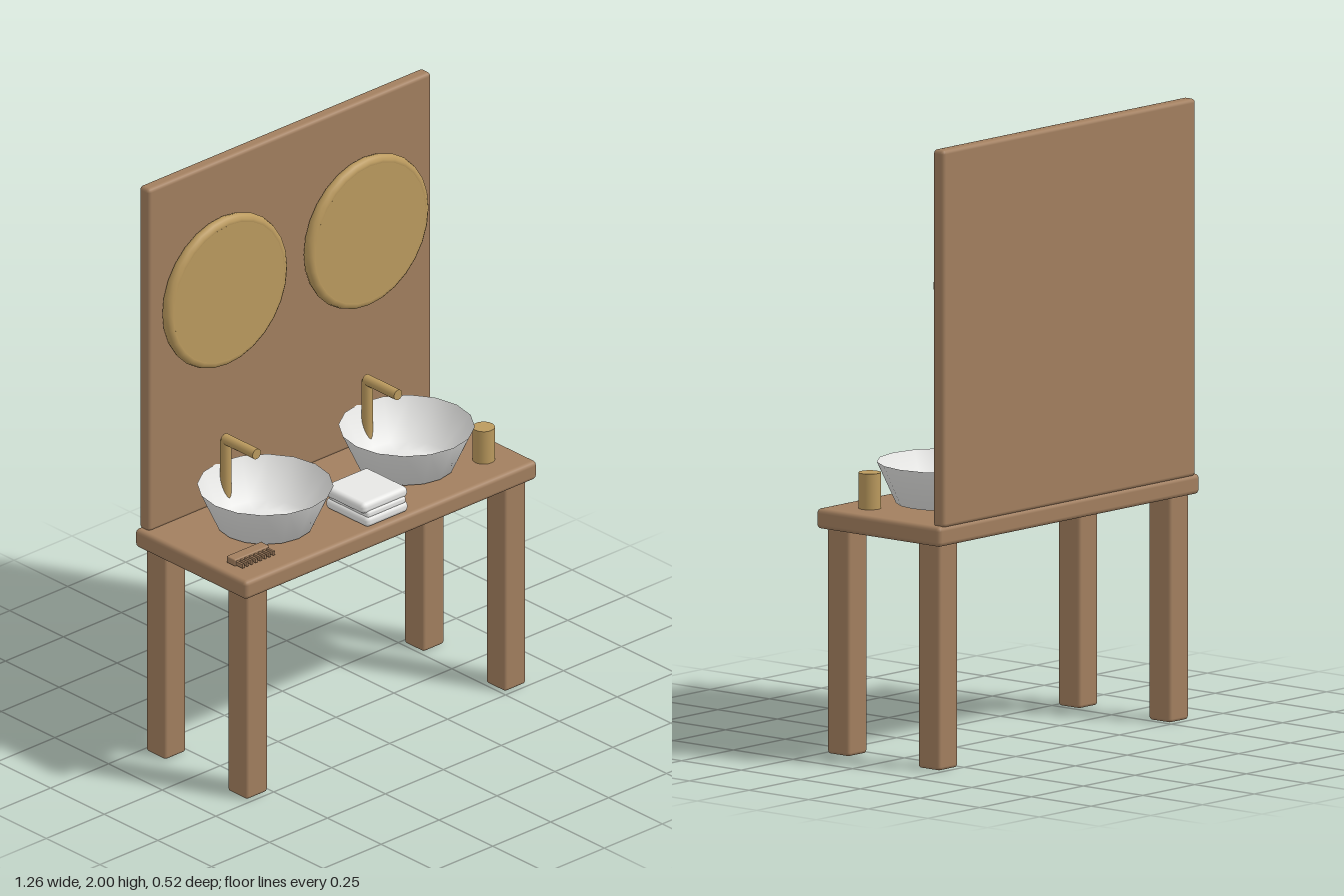
import * as THREE from 'three';
import { RoundedBoxGeometry } from 'three/addons/geometries/RoundedBoxGeometry.js';

const wood = new THREE.MeshStandardMaterial({ color: 0xa27f5f });
wood.name = 'wood';
const brass = new THREE.MeshStandardMaterial({ color: 0xbb9a5e });
brass.name = 'brass';
const white = new THREE.MeshStandardMaterial({ color: 0xf0f0ee, side: THREE.DoubleSide });
white.name = 'white';

export function createModel() {
  const model = new THREE.Group();
  model.name = 'doubleVanity';

  const add = (name, geometry, material, x, y, z, parent = model) => {
    const mesh = new THREE.Mesh(geometry, material);
    mesh.name = name;
    mesh.position.set(x, y, z);
    parent.add(mesh);
    return mesh;
  };
  // Rounded box given by its lower and upper corner
  const slab = (name, material, [x0, y0, z0], [x1, y1, z1], radius, parent) =>
    add(name, new RoundedBoxGeometry(x1 - x0, y1 - y0, z1 - z0, 2, radius), material,
      (x0 + x1) / 2, (y0 + y1) / 2, (z0 + z1) / 2, parent);

  // Counter, back panel and legs
  slab('counter', wood, [-0.63, 0.725, -0.26], [0.63, 0.79, 0.26], 0.015);
  slab('backPanel', wood, [-0.61, 0.785, -0.26], [0.61, 2, -0.213], 0.013);
  for (const sx of [-1, 1]) {
    for (const sz of [-1, 1]) {
      add(sz > 0 ? 'frontLeg' : 'backLeg', new RoundedBoxGeometry(0.092, 0.73, 0.092, 2, 0.011),
        wood, sx * 0.557, 0.365, sz * 0.19);
    }
  }

  // Shared profiles of the round parts
  const points = (list) => list.map(([r, y]) => new THREE.Vector2(r, y));
  const bowl = new THREE.LatheGeometry(
    points([[0, 0.005], [0.09, 0.005], [0.155, 0.006], [0.216, 0.14]]), 16);
  const rim = new THREE.TorusGeometry(0.241, 0.021, 10, 28);
  const disc = new THREE.CylinderGeometry(0.238, 0.238, 0.036, 28).rotateX(Math.PI / 2);
  const column = new THREE.CylinderGeometry(0.018, 0.018, 0.235, 14);
  const spout = new THREE.CylinderGeometry(0.018, 0.018, 0.148, 14).rotateX(Math.PI / 2);

  // Each side has a mirror, a basin and a tap
  for (const x of [-0.305, 0.305]) {
    const mirror = new THREE.Group();
    mirror.name = 'mirror';
    mirror.position.set(x, 1.55, -0.189);
    add('mirrorRim', rim, brass, 0, 0, 0, mirror);
    add('mirrorDisc', disc, brass, 0, 0, 0.002, mirror);
    model.add(mirror);

    add('basin', bowl, white, x, 0.79, 0);

    const tap = new THREE.Group();
    tap.name = 'tap';
    add('tapColumn', column, brass, x, 0.905, -0.184, tap);
    add('tapSpout', spout, brass, x, 1.024, -0.114, tap);
    model.add(tap);
  }

  // Folded towel
  const towel = new THREE.Group();
  towel.name = 'towel';
  slab('towelBottom', white, [-0.092, 0.79, 0.045], [0.09, 0.828, 0.245], 0.016, towel);
  slab('towelFold', white, [-0.085, 0.82, 0.055], [0.083, 0.846, 0.24], 0.01, towel);
  slab('towelTop', white, [-0.1, 0.836, 0.04], [0.096, 0.874, 0.236], 0.016, towel);
  model.add(towel);

  // Cup
  add('cup', new THREE.CylinderGeometry(0.036, 0.036, 0.115, 20), brass, 0.512, 0.8475, 0.135);

  // Comb with a row of teeth
  const comb = new THREE.Group();
  comb.name = 'comb';
  slab('combSpine', wood, [-0.58, 0.791, 0.115], [-0.43, 0.815, 0.155], 0.004, comb);
  const tooth = new THREE.BoxGeometry(0.008, 0.014, 0.034);
  for (let i = 0; i < 8; i++) add('combTooth', tooth, wood, -0.572 + i * 0.019, 0.802, 0.169, comb);
  model.add(comb);

  return model;
}
